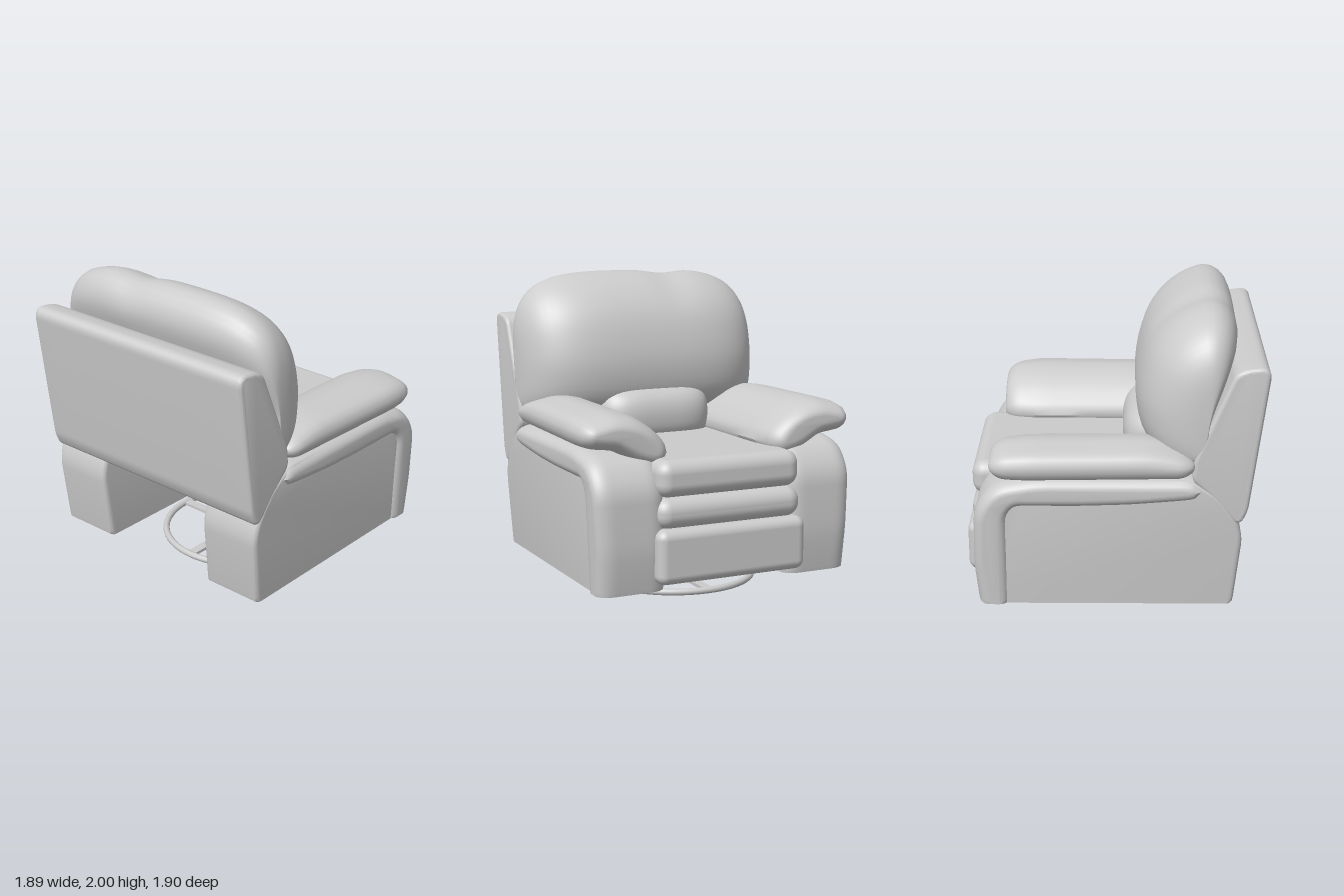
import * as THREE from 'three';
import { toCreasedNormals } from 'three/addons/utils/BufferGeometryUtils.js';
import { RoundedBoxGeometry } from 'three/addons/geometries/RoundedBoxGeometry.js';

const MID = 0.02; // z of the frame's centre line
const material = new THREE.MeshStandardMaterial({ color: 0xcccccc });

function add(parent, name, geometry, x = 0, y = 0, z = 0) {
  const mesh = new THREE.Mesh(geometry, material);
  mesh.name = name;
  mesh.position.set(x, y, z);
  parent.add(mesh);
}

// Polygon with every corner rounded by up to r
function roundedShape(points, r) {
  const p = points.map(([x, y]) => new THREE.Vector2(x, y));
  const shape = new THREE.Shape();
  p.forEach((corner, i) => {
    const toward = (q) => {
      const d = q.clone().sub(corner);
      return corner.clone().add(d.setLength(Math.min(r, d.length() * 0.45)));
    };
    const a = toward(p[(i + p.length - 1) % p.length]);
    const b = toward(p[(i + 1) % p.length]);
    if (i === 0) shape.moveTo(a.x, a.y);
    else shape.lineTo(a.x, a.y);
    shape.quadraticCurveTo(corner.x, corner.y, b.x, b.y);
  });
  shape.closePath();
  return shape;
}

// Upholstered slab filling z0..z1: a core outline puffed outward by b, its ends rounded over endDepth
function slab(points, z0, z1, b, r, endDepth = b) {
  const geometry = new THREE.ExtrudeGeometry(roundedShape(points, r), {
    depth: z1 - z0 - 2 * endDepth, bevelEnabled: true, bevelSize: b,
    bevelThickness: endDepth, bevelSegments: 7, curveSegments: 5, steps: 10,
  });
  geometry.translate(0, 0, z0 + endDepth);
  return geometry;
}

// Move every vertex by a rule
function bend(geometry, rule) {
  const p = geometry.attributes.position;
  for (let i = 0; i < p.count; i++) p.setXYZ(i, ...rule(p.getX(i), p.getY(i), p.getZ(i)));
  return geometry;
}

// Pillow: a side profile swept across z, shrinking to its anchor at both ends
function pillow(outline, [ax, ay], halfWidth, lump = () => 0) {
  const curve = new THREE.CatmullRomCurve3(outline.map(([x, y]) => new THREE.Vector3(x, y, 0)), true);
  const around = 48, across = 40;
  const profile = curve.getSpacedPoints(around).slice(0, around);
  const position = [], index = [];
  for (let i = 0; i <= across; i++) {
    const u = Math.sin((i / across - 0.5) * Math.PI);
    const s = Math.max(0, 1 - u ** 4);
    for (let j = 0; j < around; j++) {
      const { x, y } = profile[j], z = u * halfWidth;
      const ny = ay + (y - ay) * s ** (y > ay ? 0.25 : 0.12);
      position.push(ax + (x - ax) * s ** 0.45, ny + lump(ny, z), z);
      if (i === across) continue;
      const a = i * around + j, b = i * around + (j + 1) % around;
      index.push(a, b, a + around, b, b + around, a + around);
    }
  }
  const geometry = new THREE.BufferGeometry();
  geometry.setAttribute('position', new THREE.Float32BufferAttribute(position, 3));
  geometry.setIndex(index);
  geometry.computeVertexNormals();
  return geometry;
}

export function createModel() {
  const model = new THREE.Group();
  model.name = 'reclinerChair';
  const { smoothstep } = THREE.MathUtils;

  // Side bodies: recessed panel with a padded band over the top and down the front
  const panel = [[-0.725, 0.12], [0.78, 0.12], [0.78, 0.7], [0.7, 0.88], [0.5, 0.95],
    [-0.48, 0.96], [-0.63, 0.87], [-0.74, 0.72], [-0.775, 0.6]];
  const band = [[-0.5, 0.915], [-0.35, 0.9], [-0.1, 0.88], [0.2, 0.87], [0.63, 0.87], [0.71, 0.77],
    [0.71, 0.1], [0.775, 0.1], [0.805, 0.4], [0.795, 0.76], [0.7, 0.89], [0.47, 0.93], [-0.46, 0.93]];
  // Flat underside, and flanks leaning in slightly toward the floor
  const footing = (x, y, z) => [x, Math.max(y, 0.137), z * (1 - 0.03 * (1 - smoothstep(y, 0.1, 0.9)))];
  // Armrest section, drooping onto the seat
  const armSection = [[0.88, 1.11], [0.72, 1.142], [0.6, 1.12], [0.5, 1.06], [0.41, 0.97],
    [0.43, 0.955], [0.53, 0.98], [0.7, 1.07], [0.88, 1.09]];

  for (const [side, s] of [['left', -1], ['right', 1]]) {
    const body = new THREE.Group();
    body.name = side + 'SideBody';
    model.add(body);
    const place = (near, far) => (s > 0 ? [MID + near, MID + far] : [MID - far, MID - near]);
    const panelSlab = slab(panel, ...place(0.44, 0.868), 0.03, 0.06);
    const bandSlab = slab(band, ...place(0.43, 0.89), 0.07, 0.07, 0.11);
    add(body, 'sidePanel', toCreasedNormals(bend(panelSlab, footing), 0.6));
    add(body, 'paddedBand', toCreasedNormals(bend(bandSlab, footing), 0.7));

    const arm = slab(armSection.map(([z, y]) => [-s * z, y]), -0.5, 0.755, 0.08, 0.05, 0.11);
    arm.rotateY(Math.PI / 2);
    // Narrower toward the back, rounded in plan at the front, top easing down at both ends
    bend(arm, (x, y, z) => {
      const outer = (Math.abs(z) - 0.33) / 0.63;
      const back = (0.755 - x) / 1.255;
      const front = smoothstep(x, 0.5, 0.8);
      const drop = 0.05 * smoothstep(-x, 0.2, 0.5) + 0.03 * front;
      const inset = -0.045 * back * outer + 0.08 * front * (0.5 - outer);
      return [x, y - drop * smoothstep(y, 1.03, 1.22), z + s * Math.sign(s * z) * inset];
    });
    add(model, side + 'Armrest', toCreasedNormals(arm, 0.7));
  }

  // Backrest shell
  const shell = [[-0.92, 1.67], [-0.81, 0.8], [-0.775, 0.72], [-0.6, 0.92], [-0.51, 1.0],
    [-0.52, 1.12], [-0.75, 1.66], [-0.81, 1.685], [-0.9, 1.695]];
  add(model, 'backrestShell', toCreasedNormals(slab(shell, MID - 0.865, MID + 0.865, 0.025, 0.03), 0.6));

  // Back cushion with a shallow dip along its top
  const backOutline = [[-0.19, 1.15], [-0.14, 1.36], [-0.17, 1.58], [-0.25, 1.77], [-0.4, 1.92],
    [-0.61, 2.0], [-0.72, 1.95], [-0.77, 1.83], [-0.74, 1.68], [-0.62, 1.4], [-0.5, 1.12], [-0.34, 1.04]];
  const dip = (y, z) => -0.025 * Math.exp(-(((z + 0.23) / 0.13) ** 2)) * smoothstep(y, 1.6, 2);
  add(model, 'backCushion', pillow(backOutline, [-0.58, 1.35], 0.865, dip), 0, 0, MID);

  // Lumbar cushion
  const lumbar = [[-0.1, 0.92], [-0.06, 1.05], [-0.09, 1.17], [-0.18, 1.235], [-0.36, 1.2], [-0.42, 0.92]];
  add(model, 'lumbarCushion', pillow(lumbar, [-0.3, 1.0], 0.41), 0, 0, MID);

  // Seat cushion, front roll, footrest and inner frame: x0, x1, y0, y1, width, radius
  const blocks = [
    ['seatCushion', -0.45, 0.905, 0.71, 0.94, 0.98, 0.085],
    ['frontRoll', 0.3, 0.91, 0.515, 0.71, 1.0, 0.09],
    ['footrest', 0.7, 0.943, 0.185, 0.525, 1.02, 0.06],
    ['footrestRail', 0.66, 0.74, 0.16, 0.2, 0.92, 0.01],
    ['seatFrame', -0.4, 0.8, 0.55, 0.75, 0.94, 0.02],
  ];
  for (const [name, x0, x1, y0, y1, width, r] of blocks) {
    add(model, name, new RoundedBoxGeometry(x1 - x0, y1 - y0, width, 5, r), (x0 + x1) / 2, (y0 + y1) / 2, MID);
  }

  // Swivel base: ring, crossed spokes and post
  const base = new THREE.Group();
  base.name = 'swivelBase';
  base.position.set(0.075, 0, MID);
  model.add(base);
  const ring = new THREE.TorusGeometry(0.52, 0.022, 12, 64);
  ring.rotateX(Math.PI / 2);
  add(base, 'baseRing', ring, 0, 0.024, 0);
  add(base, 'spokeAlong', new THREE.BoxGeometry(1.04, 0.02, 0.06), 0, 0.026, 0);
  add(base, 'spokeAcross', new THREE.BoxGeometry(0.06, 0.02, 1.04), 0, 0.026, 0);
  add(base, 'post', new THREE.CylinderGeometry(0.035, 0.035, 0.55, 24), 0, 0.295, 0);

  return model;
}
